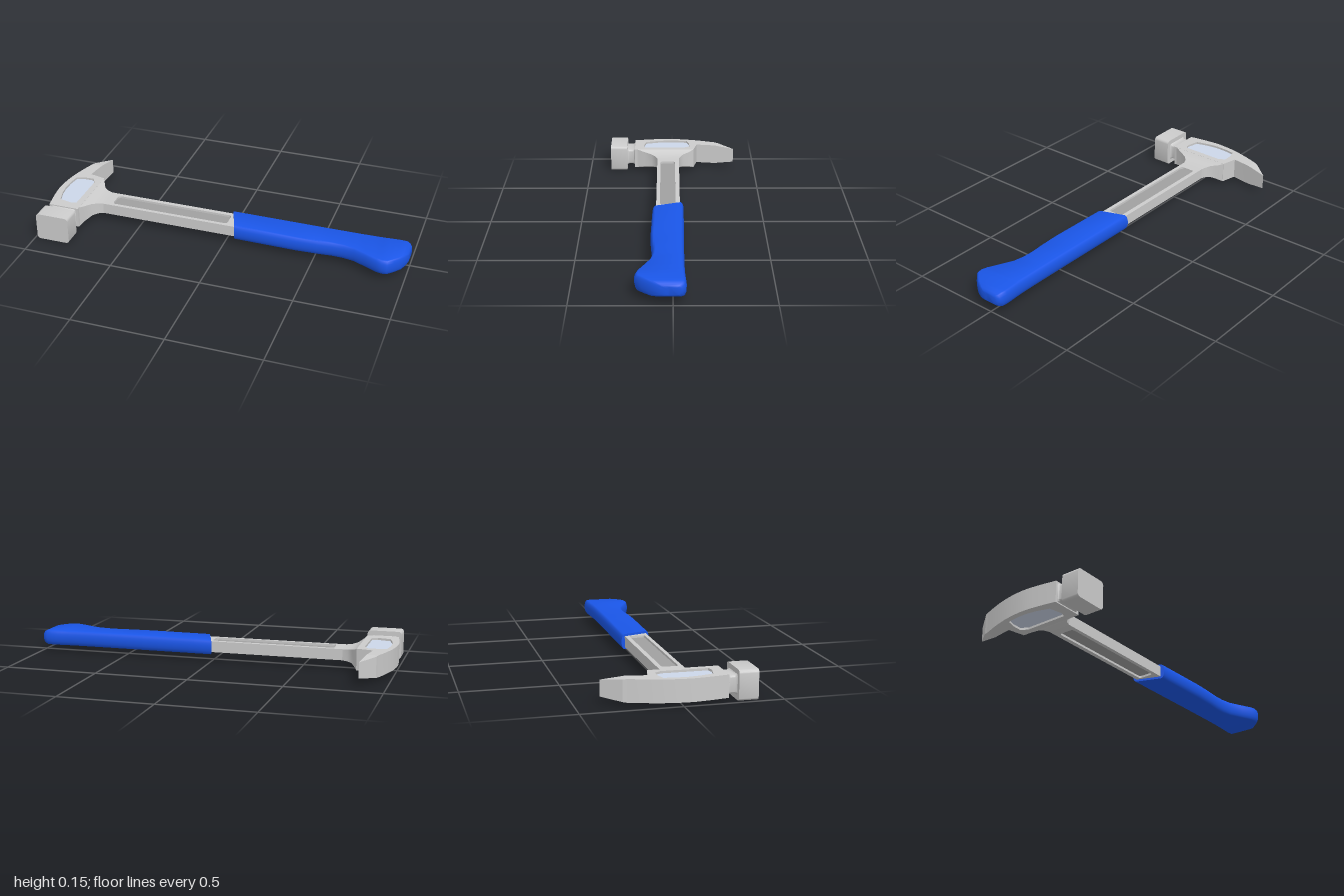
import * as THREE from 'three';
import { toCreasedNormals } from 'three/addons/utils/BufferGeometryUtils.js';

const MID = 0.077; // height of the hammer's middle plane
const grey = new THREE.MeshStandardMaterial({ color: 0xcccccc });
const darkGrey = new THREE.MeshStandardMaterial({ color: 0xa0a0a0 });
const paleBlue = new THREE.MeshStandardMaterial({ color: 0xccd6e8 });
const blue = new THREE.MeshStandardMaterial({ color: 0x1a56e8 });

const points = (list) => list.map(([x, z]) => new THREE.Vector2(x, z));

// Plate with an outline in x and z, centred on the middle plane
function plate(outline, halfHeight, hole) {
  const shape = new THREE.Shape(outline);
  if (hole) shape.holes.push(new THREE.Path(hole));
  const geo = new THREE.ExtrudeGeometry(shape, { depth: halfHeight * 2, bevelEnabled: false });
  geo.translate(0, 0, -halfHeight).rotateX(Math.PI / 2).translate(0, MID, 0);
  return geo;
}

// Capped skin over convex rings of Vector3 that turn counter-clockwise about the path
function loft(rings, crease = 0.5) {
  const n = rings[0].length;
  const pos = [];
  const tri = (...v) => v.forEach((p) => pos.push(p.x, p.y, p.z));
  for (let i = 0; i < rings.length - 1; i++) {
    for (let j = 0; j < n; j++) {
      const k = (j + 1) % n;
      const a = rings[i][j], b = rings[i][k], c = rings[i + 1][k], d = rings[i + 1][j];
      tri(a, b, c);
      tri(a, c, d);
    }
  }
  const first = rings[0], last = rings[rings.length - 1];
  for (let j = 1; j < n - 1; j++) {
    tri(first[0], first[j + 1], first[j]);
    tri(last[0], last[j], last[j + 1]);
  }
  const geo = new THREE.BufferGeometry();
  geo.setAttribute('position', new THREE.Float32BufferAttribute(pos, 3));
  return toCreasedNormals(geo, crease);
}

// Rounded rectangle as 2D points, counter-clockwise
function roundedRect(cx, cy, hx, hy, r, steps = 5) {
  const out = [];
  [[1, 1], [-1, 1], [-1, -1], [1, -1]].forEach(([sx, sy], q) => {
    for (let i = 0; i <= steps; i++) {
      const a = (q + i / steps) * Math.PI / 2;
      out.push(new THREE.Vector2(cx + sx * (hx - r) + r * Math.cos(a), cy + sy * (hy - r) + r * Math.sin(a)));
    }
  });
  return out;
}

// Rounded bar along z from stations [z, half width, half height]
const barAlongZ = (cx, r, stations) => loft(stations.map(([z, hx, hy]) =>
  roundedRect(cx, MID, hx, hy, r).map((p) => new THREE.Vector3(p.x, p.y, z))));

export function createModel() {
  const model = new THREE.Group();
  const add = (name, geo, mat) => {
    const mesh = new THREE.Mesh(geo, mat);
    mesh.name = name;
    model.add(mesh);
  };

  // Head body with a window for the side panels
  const cheek = new THREE.SplineCurve(points([
    [-0.975, 0.228], [-0.99, 0.14], [-1, 0.04], [-0.99, -0.07], [-0.966, -0.17], [-0.936, -0.26],
  ])).getPoints(14);
  const panel = points([
    [-0.957, -0.09], [-0.91, -0.104], [-0.86, -0.105], [-0.838, -0.07], [-0.84, 0.165], [-0.87, 0.175],
    [-0.94, 0.16], [-0.96, 0.09], [-0.968, 0.03], [-0.966, -0.03],
  ]);
  const body = [...cheek, ...points([[-0.876, -0.26], [-0.886, -0.2], [-0.893, -0.15], [-0.805, -0.13], [-0.805, 0.228]])];
  add('headBody', toCreasedNormals(plate(body, 0.0575, panel), 0.4), grey);
  add('headPanels', plate(panel, 0.046), paleBlue);

  // Claw tip, thinning toward its edge
  const claw = plate(points([[-0.936, -0.26], [-0.93, -0.28], [-0.857, -0.374], [-0.876, -0.26]]), 0.0575);
  const p = claw.attributes.position;
  for (let i = 0; i < p.count; i++) {
    const t = Math.max(0, (-0.26 - p.getZ(i)) / 0.114);
    p.setY(i, MID + (p.getY(i) - MID) * (1 - 0.28 * t));
  }
  claw.computeVertexNormals();
  add('clawTip', claw, grey);

  // Neck and striking face
  add('neck', barAlongZ(-0.892, 0.012, [
    [0.222, 0.076, 0.053], [0.229, 0.073, 0.051], [0.234, 0.066, 0.047], [0.241, 0.063, 0.045],
    [0.264, 0.063, 0.045], [0.271, 0.066, 0.047], [0.277, 0.073, 0.052],
  ]), grey);
  add('strikingFace', barAlongZ(-0.892, 0.018, [
    [0.275, 0.0935, 0.0765], [0.374, 0.0935, 0.0765],
  ]), grey);

  // Flare joining head and shaft: [x, back z, front z, half height]
  const flare = [
    [-0.806, -0.13, 0.215, 0.0575], [-0.79, -0.103, 0.172, 0.046], [-0.77, -0.066, 0.125, 0.037],
    [-0.745, -0.049, 0.102, 0.032], [-0.715, -0.04, 0.09, 0.03],
  ].map(([x, back, front, h]) => [[h, back], [h, front], [-h, front], [-h, back]]
    .map(([y, z]) => new THREE.Vector3(x, MID + y, z)));
  add('shaftFlare', loft(flare, 0.6), grey);

  // Shaft with a long groove on both faces
  const groove = roundedRect(-0.33, 0.027, 0.335, 0.043, 0.015);
  const shaft = points([[-0.716, -0.04], [0.055, -0.04], [0.055, 0.09], [-0.716, 0.09]]);
  add('shaft', plate(shaft, 0.03, groove), grey);
  add('shaftGroove', plate(groove, 0.018), darkGrey);

  // Grip with bulging sides: [x, back z, front z, half height]
  const grip = [
    [0, -0.06, 0.11, 0.042], [0.1, -0.06, 0.111, 0.042], [0.4, -0.058, 0.116, 0.042], [0.52, -0.057, 0.111, 0.042],
    [0.6, -0.057, 0.105, 0.042], [0.66, -0.057, 0.107, 0.042], [0.72, -0.057, 0.118, 0.042],
    [0.79, -0.058, 0.15, 0.042], [0.85, -0.06, 0.179, 0.042], [0.88, -0.062, 0.187, 0.042],
    [0.91, -0.064, 0.183, 0.042], [0.94, -0.065, 0.153, 0.042], [0.97, -0.064, 0.118, 0.041],
    [0.987, -0.058, 0.088, 0.034], [0.997, -0.046, 0.06, 0.026], [1, -0.036, 0.035, 0.02],
  ].map(([x, back, front, h], s) => {
    const ring = [];
    for (let i = 0; i < 20; i++) {
      const a = ((i % 10) / 9) * Math.PI;
      const isFront = i < 10;
      const y = (isFront ? 1 : -1) * h * Math.cos(a);
      const bulge = 0.018 * (1 - Math.sin(a));
      const z = isFront ? front - bulge : back + bulge;
      // The end nearest the head is cut at a slant
      const slant = s === 0 ? 0.06 * (z - back) / (front - back) : 0;
      ring.push(new THREE.Vector3(x + slant, MID + y, z));
    }
    return ring;
  });
  add('grip', loft(grip, 0.7), blue);

  return model;
}
